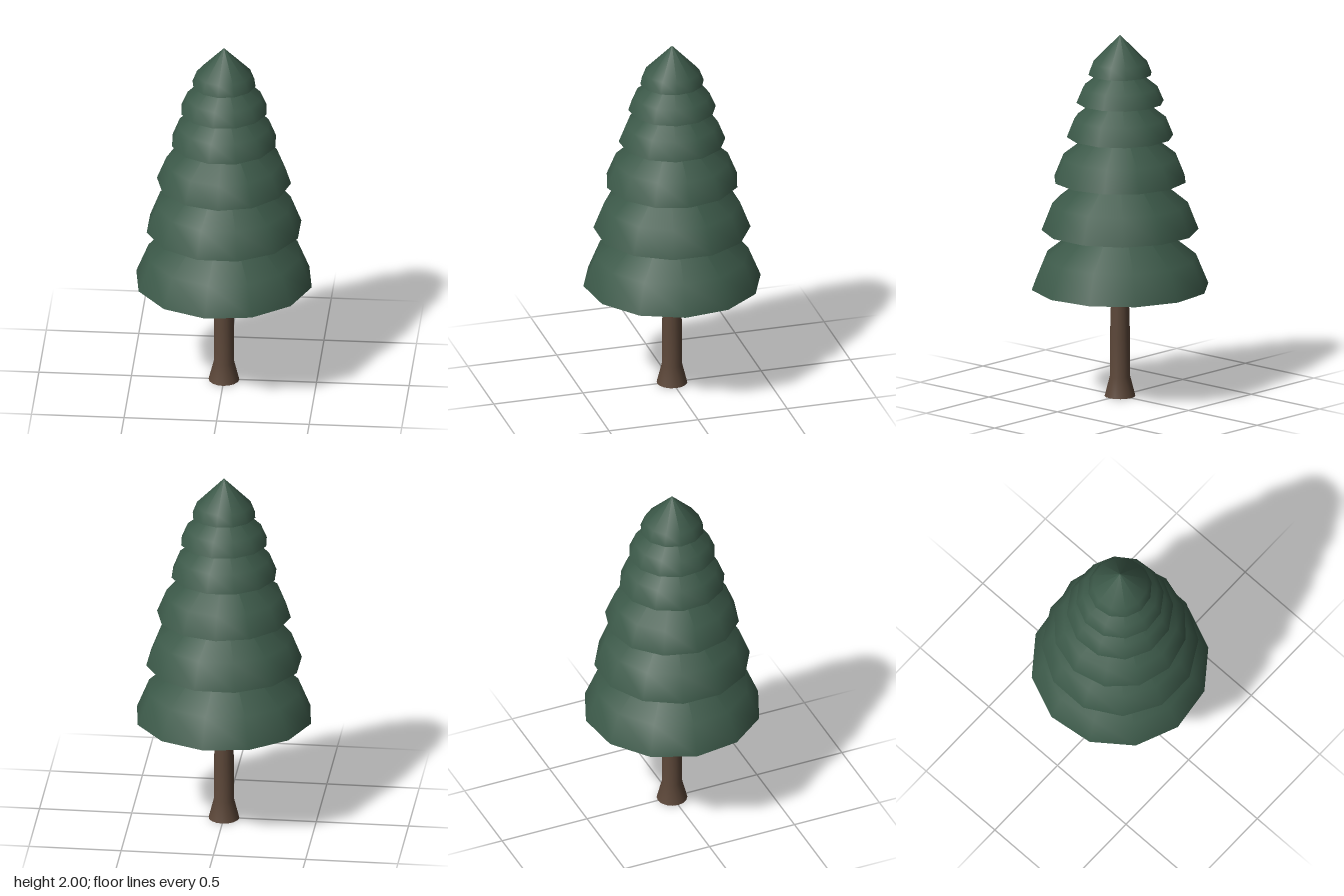
import * as THREE from 'three';

const green = new THREE.MeshStandardMaterial({ color: 0x3b5848, side: THREE.DoubleSide });
green.name = 'pine green';
const brown = new THREE.MeshStandardMaterial({ color: 0x5c4739, side: THREE.DoubleSide });
brown.name = 'bark brown';

// Smooth surface of revolution through [radius, height] pairs, listed bottom to top
function revolve(name, profile, sides, turn, material) {
  const points = profile.map(([r, y]) => new THREE.Vector2(r, y));
  const mesh = new THREE.Mesh(new THREE.LatheGeometry(points, sides, -turn), material);
  mesh.name = name;
  return mesh;
}

export function createModel() {
  const tree = new THREE.Group();
  tree.name = 'pineTree';

  // Trunk with a flared foot
  const trunk = [[0.083, 0], [0.055, 0.11], [0.054, 0.33], [0.048, 0.56], [0.048, 0.607]];
  tree.add(revolve('trunk', trunk, 16, 0, brown));

  // Branch tiers: rim radius, rim height, shoulder radius, shoulder height, tip height, turn in degrees
  const tiers = [
    [0.483, 0.605, 0.415, 0.77, 1.1, 7.5],
    [0.423, 0.922, 0.365, 1.07, 1.36, 15.5],
    [0.363, 1.2, 0.312, 1.325, 1.57, 0.8],
    [0.288, 1.44, 0.248, 1.54, 1.735, 12],
    [0.237, 1.63, 0.203, 1.71, 1.87, 10],
    [0.173, 1.785, 0.149, 1.847, 2, 6.5],
  ];
  tiers.forEach(([rim, y0, shoulder, y1, tip, degrees], i) => {
    const turn = THREE.MathUtils.degToRad(degrees);
    const profile = [[rim, y0], [shoulder, y1], [0, tip]];
    tree.add(revolve(`branchTier${i + 1}`, profile, 12, turn, green));
  });

  // Flat underside of the lowest tier
  const [rim, y0, , , , degrees] = tiers[0];
  const disc = new THREE.CircleGeometry(rim, 12, THREE.MathUtils.degToRad(degrees));
  const underside = new THREE.Mesh(disc.rotateX(Math.PI / 2), green);
  underside.position.y = y0;
  underside.name = 'lowestTierUnderside';
  tree.add(underside);

  return tree;
}
